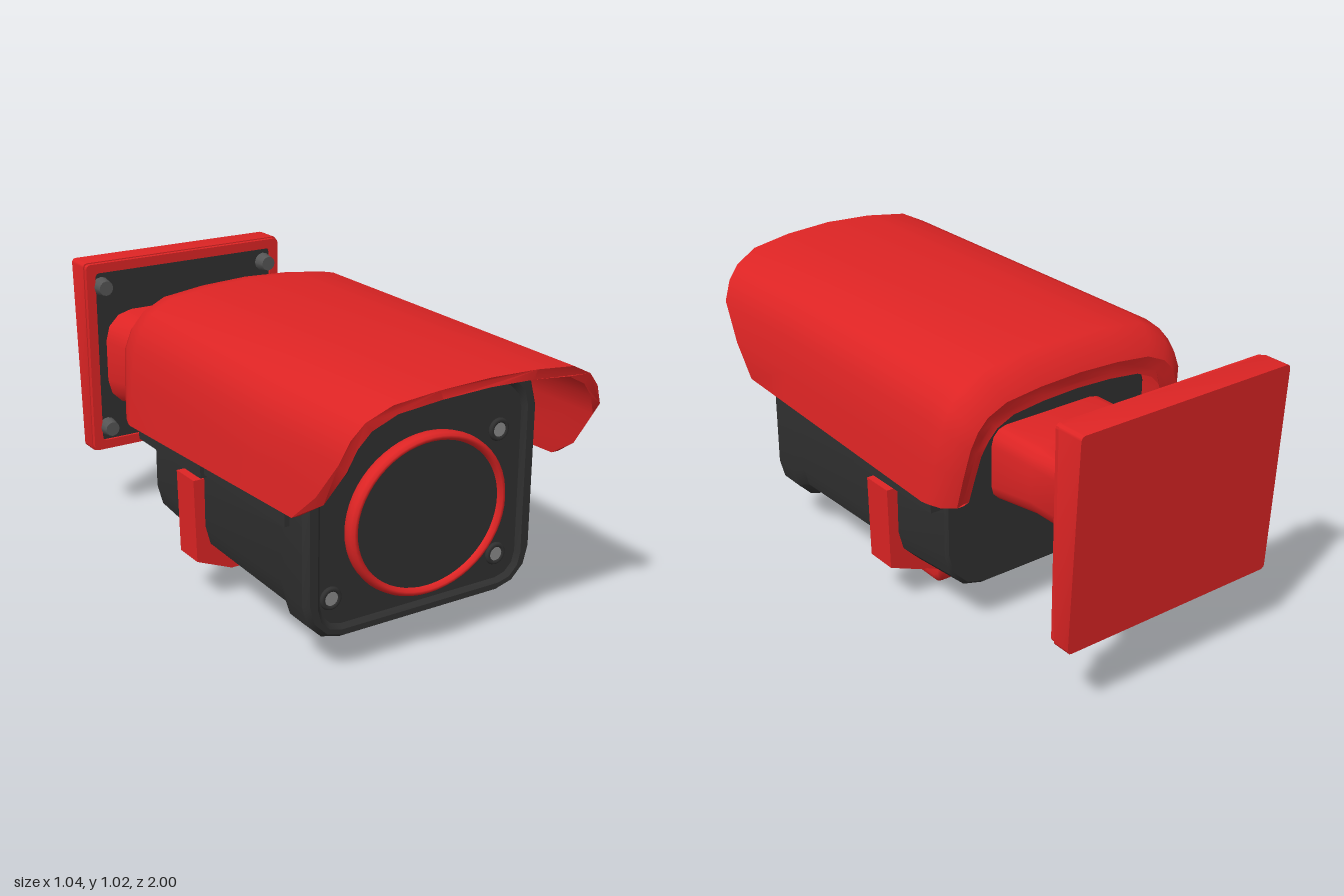
import * as THREE from 'three';
import { toCreasedNormals } from 'three/addons/utils/BufferGeometryUtils.js';

const mat = (name, color) => {
  const m = new THREE.MeshStandardMaterial({ color });
  m.name = name;
  return m;
};

// Skin a list of cross-sections (front to back, counter-clockwise seen from +z), capped at both ends
function loft(sections, crease = 0.6) {
  const n = sections[0].length, pos = sections.flat(2), idx = [];
  for (let i = 0; i < sections.length - 1; i++) {
    for (let j = 0; j < n; j++) {
      const a = i * n + j, b = i * n + (j + 1) % n;
      idx.push(a, a + n, b + n, a, b + n, b);
    }
  }
  const last = (sections.length - 1) * n;
  const cap = (s) => THREE.ShapeUtils.triangulateShape(s.map(([x, y]) => new THREE.Vector2(x, y)), []);
  for (const [a, b, c] of cap(sections[0])) idx.push(a, b, c);
  for (const [a, b, c] of cap(sections[sections.length - 1])) idx.push(last + a, last + c, last + b);
  const g = new THREE.BufferGeometry();
  g.setAttribute('position', new THREE.Float32BufferAttribute(pos, 3));
  g.setIndex(idx);
  return toCreasedNormals(g, crease);
}

// Rectangle with softened corners; cb and ct are bottom and top corner sizes
function softRect(z, hw, y0, y1, cb, ct = cb) {
  const out = [];
  const corner = (cx, cy, r, start) => {
    for (let k = 0; k < 4; k++) {
      const a = start + (k / 3) * Math.PI / 2;
      out.push([cx + r * Math.cos(a), cy + r * Math.sin(a), z]);
    }
  };
  corner(hw - cb, y0 + cb, cb, -Math.PI / 2);
  corner(hw - ct, y1 - ct, ct, 0);
  corner(-hw + ct, y1 - ct, ct, Math.PI / 2);
  corner(-hw + cb, y0 + cb, cb, Math.PI);
  return out;
}

const shapeOf = (pts) => new THREE.Shape(pts.map(([x, y]) => new THREE.Vector2(x, y)));

function extrude(shape, z0, z1) {
  const g = new THREE.ExtrudeGeometry(shape, { depth: z1 - z0, bevelEnabled: false });
  return g.translate(0, 0, z0);
}

// Piecewise linear lookup in a list of [input, output]
function lerpTable(t, table) {
  if (t <= table[0][0]) return table[0][1];
  for (let i = 1; i < table.length; i++) {
    const [a, va] = table[i - 1], [b, vb] = table[i];
    if (t <= b) return va + (vb - va) * (t - a) / (b - a);
  }
  return table[table.length - 1][1];
}

function hoodGeometry() {
  const half = [[0.52, 0.555], [0.508, 0.7], [0.492, 0.83], [0.463, 0.9], [0.42, 0.95], [0.336, 0.992], [0.18, 1.012]];
  const outer = [...half, [0, 1.02], ...half.slice().reverse().map(([x, y]) => [-x, y])];
  const inner = outer.slice().reverse().map(([x, y]) => [x * 0.945, y < 0.6 ? y : y - 0.03]);
  const loop = [...outer, ...inner];
  const frontEdge = [[0.555, 0.73], [0.64, 0.8], [0.83, 0.94], [0.95, 0.965], [0.99, 0.98], [1.02, 1]];
  const front = loop.map(([x, y], i) => {
    const ref = i < outer.length ? y : outer[2 * outer.length - 1 - i][1];
    return [x, y < 0.6 ? 0.597 : y, lerpTable(ref, frontEdge)];
  });
  const rear = [[0.5, 1, 1], [-0.35, 1, 1], [-0.42, 0.99, 0.975], [-0.47, 0.955, 0.9], [-0.5, 0.88, 0.78], [-0.49, 0.82, 0.7]];
  const sections = rear.map(([z, sx, sy], i) => loop.map(([x, y]) => [
    x * sx,
    0.555 + (y - 0.555) * sy + (z > 0 && y < 0.6 ? 0.033 : 0),
    z + (i > 1 ? 0.045 * Math.max(0, 1 - (y - 0.555) / 0.3) : 0),
  ]));
  return loft([front, ...sections], 0.7);
}

export function createModel() {
  const red = mat('red shell', 0xdd2424);
  const dark = mat('charcoal', 0x303030);
  const grey = mat('lamp grey', 0x8a8a8a);
  const steel = mat('bolt grey', 0x555555);
  const model = new THREE.Group();
  const add = (name, geometry, material, x = 0, y = 0, z = 0) => {
    const m = new THREE.Mesh(geometry, material);
    m.name = name;
    m.position.set(x, y, z);
    model.add(m);
    return m;
  };
  const disc = (r, depth, seg = 20) => new THREE.CylinderGeometry(r, r, depth, seg).rotateX(Math.PI / 2);

  // Camera housing with a thicker front bezel and shallow recessed face
  add('housing', loft([
    softRect(0.685, 0.39, 0.17, 0.86, 0.08, 0.1),
    softRect(0.7, 0.405, 0.155, 0.88, 0.09, 0.11),
    softRect(0.7, 0.435, 0.135, 0.92, 0.13, 0.16),
    softRect(0.68, 0.452, 0.122, 0.93, 0.14, 0.17),
    softRect(0.58, 0.452, 0.122, 0.93, 0.14, 0.17),
    softRect(0.53, 0.437, 0.142, 0.91, 0.14, 0.17),
    softRect(-0.1, 0.435, 0.155, 0.9, 0.14, 0.17),
    softRect(-0.34, 0.425, 0.162, 0.89, 0.15, 0.17),
    softRect(-0.35, 0.415, 0.17, 0.88, 0.15, 0.17),
  ], 0.5), dark);

  // Lens window and its red ring
  const lens = add('lensWindow', disc(0.285, 0.05, 48), dark, -0.008, 0.49, 0.705);
  lens.scale.y = 0.9;
  const ring = add('lensRing', new THREE.TorusGeometry(0.29, 0.017, 10, 56), red, -0.008, 0.49, 0.72);
  ring.scale.set(1, 0.9, 1.7);

  // Four lamps around the lens
  for (const [x, y] of [[-0.325, 0.705], [0.295, 0.705], [-0.352, 0.27], [0.302, 0.263]]) {
    add('lampBezel', new THREE.TorusGeometry(0.031, 0.009, 8, 20), dark, x, y, 0.69);
    add('lamp', disc(0.025, 0.02, 14), grey, x, y, 0.685);
  }

  // Sun hood and the spacer that carries it
  add('sunHood', hoodGeometry(), red);
  add('hoodSpacer', loft([softRect(0.6, 0.33, 0.86, 0.952, 0.02, 0.04), softRect(-0.3, 0.33, 0.86, 0.952, 0.02, 0.04)]), grey);

  // Side rails
  for (const s of [-1, 1]) {
    add('sideRail', new THREE.BoxGeometry(0.04, 0.1, 0.96), dark, s * 0.45, 0.56, 0.13);
    add('railClamp', new THREE.BoxGeometry(0.05, 0.06, 0.45), dark, s * 0.46, 0.53, -0.125);
  }

  // Strap wrapped under the housing
  const outerStrap = [[-0.477, 0.467], [-0.47, 0.165], [-0.335, 0.11], [0.335, 0.11], [0.47, 0.165], [0.477, 0.467]];
  const innerStrap = [[0.425, 0.467], [0.425, 0.28], [0.3, 0.165], [-0.3, 0.165], [-0.425, 0.28], [-0.425, 0.467]];
  add('strap', extrude(shapeOf([...outerStrap, ...innerStrap]), -0.085, 0.035), red);

  // Foot below the strap, with dark front and underside panels
  const footSection = (z, inset, y0) => softRect(z, 0.145 - inset, y0, 0.145, 0.035, 0.01)
    .map(([x, y]) => [x + 0.115, y, z]);
  add('foot', loft([
    footSection(0.145, 0.003, 0.008), footSection(0.135, 0, 0.003), footSection(-0.04, 0, 0.003),
    footSection(-0.062, 0, 0.02), footSection(-0.075, 0, 0.05),
  ]), red);
  add('footFront', extrude(shapeOf(footSection(0, 0.008, 0.01)), 0.143, 0.149), dark);
  add('footUnderside', new THREE.BoxGeometry(0.21, 0.006, 0.17), dark, 0.115, 0.003, 0.055);
  add('footGusset', extrude(shapeOf([[0.24, 0.06], [0.27, 0.085], [0.36, 0.125], [0.24, 0.13]]), -0.08, 0.03), red);

  // Wall arm flaring towards the plate
  add('wallArm', loft([
    softRect(-0.3, 0.24, 0.45, 0.72, 0.06),
    softRect(-0.36, 0.24, 0.46, 0.73, 0.06),
    softRect(-0.55, 0.238, 0.488, 0.732, 0.06),
    softRect(-0.69, 0.238, 0.488, 0.732, 0.06),
    softRect(-0.73, 0.27, 0.47, 0.76, 0.08),
    softRect(-0.78, 0.325, 0.45, 0.79, 0.1),
    softRect(-0.9, 0.345, 0.43, 0.81, 0.11),
  ], 0.8), red);

  // Wall plate with a slightly slanted back, raised rim and dark inset
  const lean = (p) => p.map(([x, y]) => [x, y, -0.965 - 0.035 * (y - 0.26) / 0.75]);
  const plateOutline = (z, i = 0) => softRect(z, 0.422 - i, 0.262 + i, 1.01 - i, 0.015);
  add('wallPlate', loft([plateOutline(-0.9), lean(plateOutline(0))]), red);
  const rim = shapeOf(plateOutline(0, 0.004));
  rim.holes.push(new THREE.Path(plateOutline(0, 0.04).map(([x, y]) => new THREE.Vector2(x, y))));
  add('plateRim', extrude(rim, -0.9, -0.882), red);
  add('plateInset', extrude(shapeOf(plateOutline(0, 0.04)), -0.9, -0.893), dark);

  // Plate bolts
  for (const x of [-0.355, 0.355]) {
    for (const y of [0.355, 0.917]) {
      add('plateBolt', new THREE.CylinderGeometry(0.028, 0.036, 0.05, 12).rotateX(Math.PI / 2), steel, x, y, -0.872);
    }
  }
  return model;
}
